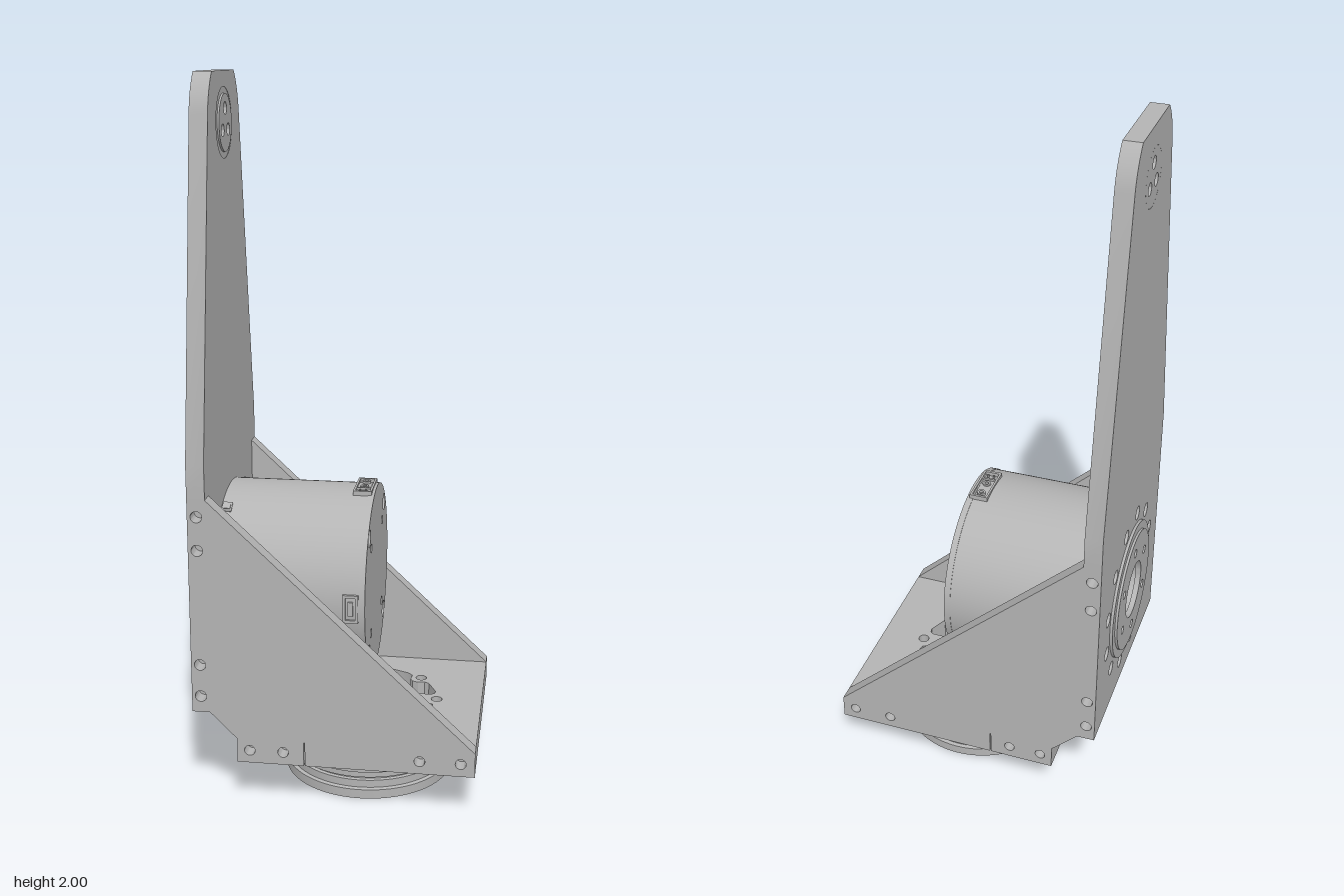
import * as THREE from 'three';
import { toCreasedNormals } from 'three/addons/utils/BufferGeometryUtils.js';

const grey = new THREE.MeshStandardMaterial({ color: 0xb4b4b4 });
grey.name = 'plain grey';

const AXIS_Y = 0.583; // motor axis height
const BASE_X = 0.068; // lower flange centre

function add(parent, name, geometry, x = 0, y = 0, z = 0) {
  const mesh = new THREE.Mesh(geometry, grey);
  mesh.name = name;
  mesh.position.set(x, y, z);
  parent.add(mesh);
  return mesh;
}

const polygon = (pts) => new THREE.Shape(pts.map(([x, y]) => new THREE.Vector2(x, y)));

function disc(r) {
  const s = new THREE.Shape();
  s.absarc(0, 0, r, 0, Math.PI * 2);
  return s;
}

function hole(shape, x, y, r) {
  const p = new THREE.Path();
  p.absarc(x, y, r, 0, Math.PI * 2, true);
  shape.holes.push(p);
}

// Holes evenly spaced on a circle
function holeRing(shape, cx, cy, radius, count, r, start = 0) {
  for (let i = 0; i < count; i++) {
    const a = start + (i * Math.PI * 2) / count;
    hole(shape, cx + radius * Math.cos(a), cy + radius * Math.sin(a), r);
  }
}

const extrude = (shape, depth, curveSegments = 24) => toCreasedNormals(
  new THREE.ExtrudeGeometry(shape, { depth, bevelEnabled: false, curveSegments }), 0.5);
// Extrusions running along +x (shape drawn in z, y) and down -y (shape drawn in x, z)
const extrudeX = (shape, depth, seg) => extrude(shape, depth, seg).rotateY(Math.PI / 2);
const extrudeDown = (shape, depth, seg) => extrude(shape, depth, seg).rotateX(Math.PI / 2);

function makeArm(group) {
  // Tapered upright with a rounded, flat-topped tip
  const half = [[0.285, 0.28], [0.285, 0.895], [0.33, 0.895], [0.33, 0.99]];
  for (let i = 0; i <= 8; i++) {
    const a = THREE.MathUtils.degToRad(9.2 + (i / 8) * 37);
    half.push([0.19 * Math.cos(a), 1.863 + 0.19 * Math.sin(a)]);
  }
  half[half.length - 1][1] = 2;
  const mirrored = half.map(([z, y]) => [-z, y]).reverse();
  const arm = polygon([...half, ...mirrored]);
  hole(arm, 0, AXIS_Y, 0.09);
  holeRing(arm, 0, AXIS_Y, 0.237, 12, 0.021, Math.PI / 12);
  hole(arm, 0, 1.863, 0.095);
  add(group, 'arm', extrudeX(arm, 0.05), -0.385);

  // Pivot bearing in the tip
  const ring = disc(0.095);
  hole(ring, 0, 0, 0.078);
  add(group, 'pivotRing', extrudeX(ring, 0.049), -0.385, 1.863);
  const cap = disc(0.0775);
  holeRing(cap, 0, 0, 0.038, 3, 0.017, Math.PI / 2);
  add(group, 'pivotCap', extrudeX(cap, 0.054), -0.385, 1.863);
}

function makeSidePlates(group) {
  const plate = polygon([
    [-0.385, 0.28], [-0.335, 0.28], [-0.26, 0.205], [-0.26, 0.135], [-0.073, 0.135],
    [-0.073, 0.205], [-0.07, 0.205], [-0.07, 0.135], [0.4, 0.135], [0.4, 0.205],
    [-0.335, 0.895], [-0.385, 0.895],
  ]);
  for (const y of [0.327, 0.42, 0.752, 0.847]) hole(plate, -0.36, y, 0.016);
  for (const x of [-0.225, -0.131, 0.248, 0.361]) hole(plate, x, 0.172, 0.015);
  const geometry = extrude(plate, 0.045);
  add(group, 'leftSidePlate', geometry, 0, 0, 0.285);
  add(group, 'rightSidePlate', geometry, 0, 0, -0.33);
}

function makeBase(group) {
  const base = polygon([[-0.26, -0.285], [0.4, -0.285], [0.4, 0.285], [-0.26, 0.285]]);
  // One lightening cut-out per quadrant, notched around the diagonal bolt
  const cut = [
    [0.03, 0.18], [0.035, 0.19], [0.047, 0.193], [0.1, 0.17], [0.113, 0.155], [0.11, 0.127],
    [0.118, 0.114], [0.135, 0.107], [0.155, 0.111], [0.168, 0.104], [0.193, 0.05],
    [0.19, 0.036], [0.18, 0.03], [0.104, 0.03], [0.09, 0.035], [0.035, 0.09], [0.03, 0.104],
  ];
  for (const sx of [-1, 1]) {
    for (const sz of [-1, 1]) {
      base.holes.push(new THREE.Path(
        cut.map(([u, v]) => new THREE.Vector2(BASE_X + sx * u, sz * v))));
    }
  }
  hole(base, BASE_X, 0, 0.052);
  holeRing(base, BASE_X, 0, 0.066, 4, 0.008, Math.PI / 4);
  holeRing(base, BASE_X, 0, 0.2, 8, 0.016);
  add(group, 'basePlate', extrudeDown(base, 0.07), 0, 0.205);

  // Grooved mounting flange
  const profile = [
    [0.219, 0], [0.245, 0], [0.245, 0.027], [0.235, 0.03], [0.235, 0.052], [0.226, 0.054],
    [0.226, 0.062], [0.24, 0.064], [0.24, 0.08], [0.25, 0.084], [0.25, 0.135],
    [0.219, 0.135], [0.219, 0],
  ].map(([r, y]) => new THREE.Vector2(r, y));
  add(group, 'flangeRing', toCreasedNormals(new THREE.LatheGeometry(profile, 72), 0.4), BASE_X);

  // Inner core with a scalloped opening and eight bolt holes
  const core = disc(0.22);
  const lobes = [];
  for (let i = 0; i < 128; i++) {
    const a = (i / 128) * Math.PI * 2;
    const r = 0.192 - 0.015 * (1 + Math.cos(8 * a));
    lobes.push(new THREE.Vector2(r * Math.cos(a), r * Math.sin(a)));
  }
  core.holes.push(new THREE.Path(lobes));
  holeRing(core, 0, 0, 0.2, 8, 0.015);
  add(group, 'flangeCore', extrudeDown(core, 0.115, 36), BASE_X, 0.135);
}

function makeMotor(group) {
  const motor = new THREE.Group();
  motor.name = 'motor';
  motor.position.y = AXIS_Y;
  group.add(motor);

  const body = new THREE.CylinderGeometry(0.268, 0.268, 0.405, 96).rotateZ(Math.PI / 2);
  add(motor, 'motorBody', body, -0.1325);

  // End cover with recessed screws and small holes
  const cover = disc(0.2695);
  holeRing(cover, 0, 0, 0.241, 4, 0.025, Math.PI / 4);
  holeRing(cover, 0, 0, 0.18, 4, 0.013, Math.PI / 4);
  add(motor, 'motorCover', extrudeX(cover, 0.018, 48), 0.07);
  for (let i = 0; i < 4; i++) {
    const a = Math.PI / 4 + (i * Math.PI) / 2;
    const screw = disc(0.017);
    hole(screw, 0, 0, 0.008);
    add(motor, 'coverScrew', extrudeX(screw, 0.01), 0.07, 0.241 * Math.sin(a), 0.241 * Math.cos(a));
  }

  // Clips around the mounted end
  for (let i = 0; i < 6; i++) {
    const clip = new THREE.Group();
    clip.name = 'clip';
    clip.rotation.x = Math.PI / 6 + (i * Math.PI) / 3;
    add(clip, 'clipBody', new THREE.BoxGeometry(0.028, 0.014, 0.034), -0.319, 0.264);
    add(clip, 'clipTab', new THREE.BoxGeometry(0.018, 0.006, 0.02), -0.318, 0.271);
    motor.add(clip);
  }

  // Power socket on top: framed housing with two round pins and a small plug
  const frame = polygon([[0.027, -0.067], [0.08, -0.067], [0.08, 0.065], [0.027, 0.065]]);
  frame.holes.push(polygon([[0.033, -0.06], [0.074, -0.06], [0.074, 0.024], [0.033, 0.024]]));
  frame.holes.push(polygon([[0.033, 0.03], [0.074, 0.03], [0.074, 0.057], [0.033, 0.057]]));
  add(motor, 'powerSocket', extrudeDown(frame, 0.03), 0, 0.273);
  for (const z of [-0.042, 0.005]) {
    const pin = disc(0.012);
    hole(pin, 0, 0, 0.006);
    add(motor, 'powerPin', extrudeDown(pin, 0.02), 0.053, 0.272, z);
  }
  for (const x of [0.045, 0.062]) {
    add(motor, 'signalPin', new THREE.BoxGeometry(0.005, 0.02, 0.005), x, 0.262, 0.044);
  }

  // Data socket on the front flank
  const port = polygon([[0.027, -0.04], [0.07, -0.04], [0.07, 0.04], [0.027, 0.04]]);
  port.holes.push(polygon([[0.035, -0.032], [0.062, -0.032], [0.062, 0.032], [0.035, 0.032]]));
  add(motor, 'dataSocket', extrude(port, 0.02), 0, 0, 0.253);
  add(motor, 'dataPlug', new THREE.BoxGeometry(0.015, 0.04, 0.012), 0.048, 0, 0.266);

  // Stepped output hub behind the arm
  for (const [name, radius, x, depth] of [
    ['hubPlate', 0.205, -0.393, 0.009], ['hubFace', 0.18, -0.4, 0.008],
  ]) {
    const hub = disc(radius);
    hole(hub, 0, 0, 0.085);
    holeRing(hub, 0, 0, 0.13, 6, 0.013, Math.PI / 6);
    add(motor, name, extrudeX(hub, depth, 36), x);
  }
  const sleeve = disc(0.09);
  hole(sleeve, 0, 0, 0.062);
  add(motor, 'hubSleeve', extrudeX(sleeve, 0.035), -0.37);
}

export function createModel() {
  const group = new THREE.Group();
  group.name = 'motorBracket';
  makeArm(group);
  makeSidePlates(group);
  makeBase(group);
  makeMotor(group);
  return group;
}
